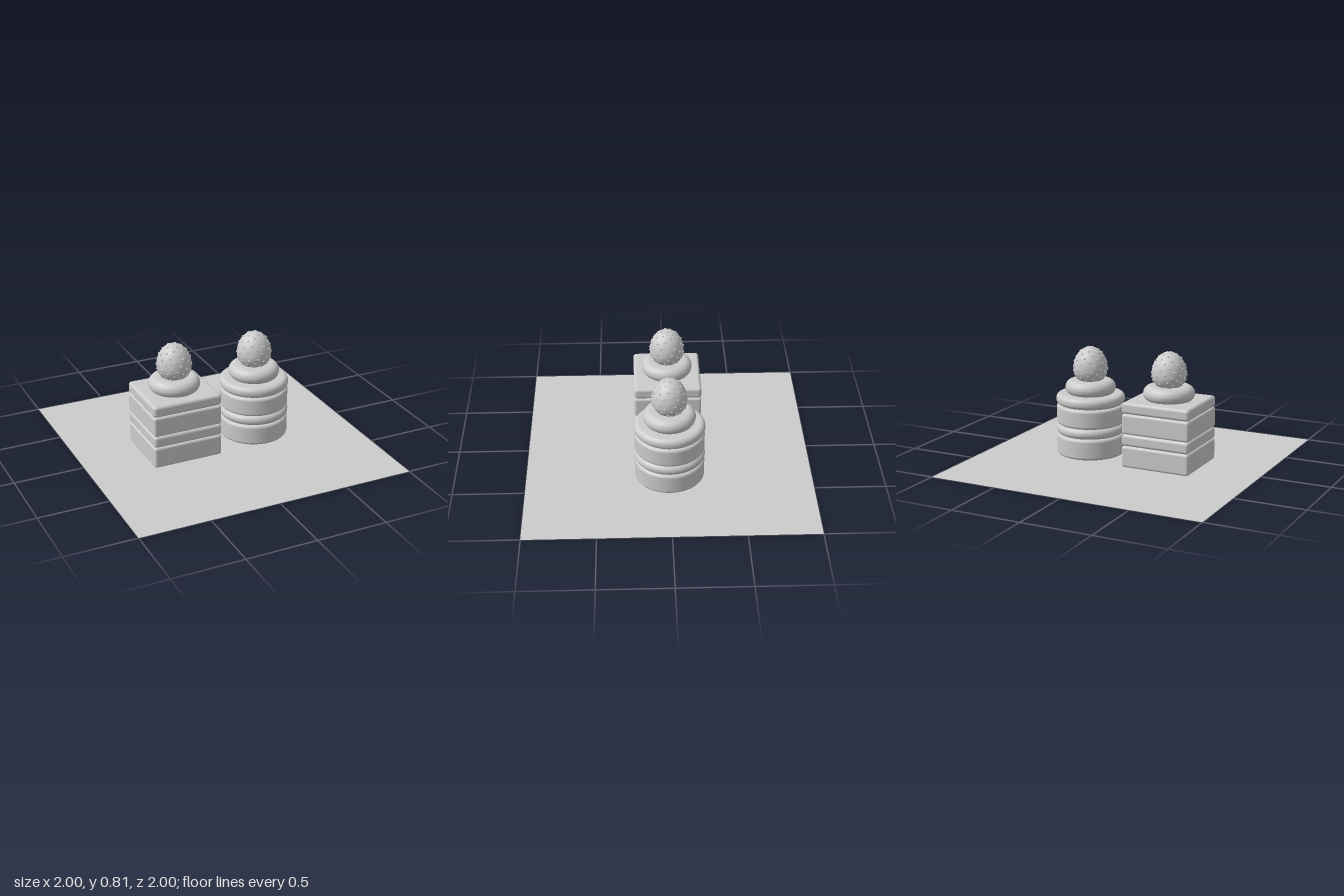
import * as THREE from 'three';
import { RoundedBoxGeometry } from 'three/addons/geometries/RoundedBoxGeometry.js';

const material = new THREE.MeshStandardMaterial({ color: 0xcccccc });
const groundMaterial = new THREE.MeshStandardMaterial({ color: 0xcccccc, side: THREE.DoubleSide });

function add(parent, name, geometry, y = 0, mat = material) {
  const mesh = new THREE.Mesh(geometry, mat);
  mesh.name = name;
  mesh.position.y = y;
  parent.add(mesh);
  return mesh;
}

// Disc with rounded rims, standing on y = 0
function roundedDisc(radius, height, c) {
  const pts = [new THREE.Vector2(0, 0), new THREE.Vector2((radius - c) * 0.97, 0)];
  for (const [y, start] of [[c, -Math.PI / 2], [height - c, 0]]) {
    for (let i = 0; i <= 8; i++) {
      const a = start + (i / 8) * Math.PI / 2;
      pts.push(new THREE.Vector2(radius - c + Math.cos(a) * c, y + Math.sin(a) * c));
    }
  }
  pts.push(new THREE.Vector2((radius - c) * 0.97, height), new THREE.Vector2(0, height));
  return new THREE.LatheGeometry(pts, 64);
}

// Egg-shaped berry: t runs from 0 at the base to PI at the tip
const BERRY = { radius: 0.122, low: 0.115, high: 0.155 };
function berryPoint(t) {
  const c = -Math.cos(t);
  const r = BERRY.radius * Math.sin(t);
  return new THREE.Vector2(Math.max(r, 0), c * (c < 0 ? BERRY.low : BERRY.high));
}

function createBerry() {
  const berry = new THREE.Group();
  berry.name = 'strawberry';
  const profile = Array.from({ length: 33 }, (_, i) => berryPoint((i / 32) * Math.PI));
  add(berry, 'berryBody', new THREE.LatheGeometry(profile, 48));

  // Seeds spread in a golden-angle spiral, flattened against the skin
  const seedGeometry = new THREE.SphereGeometry(0.0085, 10, 8);
  const count = 90;
  for (let i = 0; i < count; i++) {
    const t = Math.acos(1 - 2 * (i + 0.5) / count);
    const a = i * Math.PI * (3 - Math.sqrt(5));
    const p = berryPoint(t);
    const ahead = berryPoint(t + 0.01);
    const nr = ahead.y - p.y, ny = p.x - ahead.x;
    const normal = new THREE.Vector3(Math.cos(a) * nr, ny, Math.sin(a) * nr).normalize();
    const seed = add(berry, 'seed', seedGeometry);
    seed.position.set(Math.cos(a) * p.x, p.y, Math.sin(a) * p.x);
    seed.quaternion.setFromUnitVectors(new THREE.Vector3(0, 0, 1), normal);
    seed.scale.set(1, 1, 0.7);
  }
  return berry;
}

// Cream ring with a filled centre and a berry on top
function addTopping(cake, y) {
  add(cake, 'creamDollop', roundedDisc(0.18, 0.106, 0.0525), y);
  const berry = createBerry();
  berry.position.y = y + 0.188;
  cake.add(berry);
}

function createCake(name, x, levels, makeLayer) {
  const cake = new THREE.Group();
  cake.name = name;
  cake.position.set(x, 0, -0.003);
  for (let i = 0; i < 4; i++) {
    const height = levels[i + 1] - levels[i];
    const isCream = i % 2 === 1;
    add(cake, isCream ? 'creamLayer' : 'spongeLayer', makeLayer(height, isCream), levels[i]);
  }
  addTopping(cake, levels[4] - 0.01);
  return cake;
}

export function createModel() {
  const model = new THREE.Group();
  model.name = 'cakes';

  // Table surface
  add(model, 'ground', new THREE.PlaneGeometry(2, 2).rotateX(-Math.PI / 2), 0, groundMaterial);

  // Square cake on the model's right
  model.add(createCake('squareCake', -0.312, [0.005, 0.158, 0.243, 0.388, 0.47], (h, cream) =>
    new RoundedBoxGeometry(0.506, h, 0.478, 5, cream ? 0.022 : 0.018).translate(0, h / 2, 0)));

  // Round cake on the model's left
  model.add(createCake('roundCake', 0.305, [0.005, 0.156, 0.23, 0.37, 0.448], (h, cream) =>
    roundedDisc(cream ? 0.246 : 0.243, h, cream ? 0.035 : 0.022)));

  return model;
}
